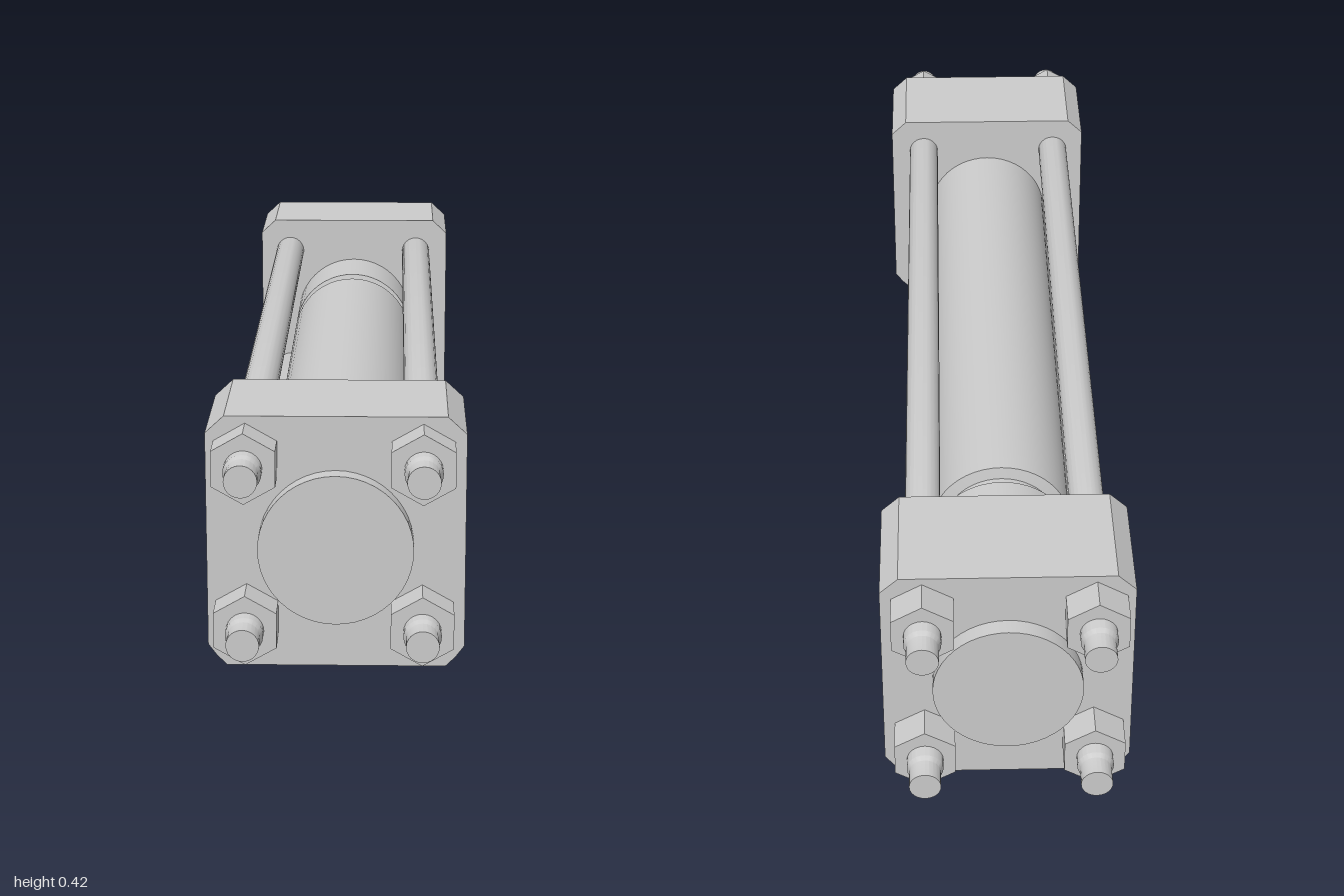
import * as THREE from 'three';
import { toCreasedNormals } from 'three/addons/utils/BufferGeometryUtils.js';

const material = new THREE.MeshStandardMaterial({ color: 0xcccccc });

// Turned part along z, from [radius, z] pairs running back to front
function turned(profile, segments) {
  const points = profile.map(([r, z]) => new THREE.Vector2(r, z));
  const geometry = new THREE.LatheGeometry(points, segments).rotateX(Math.PI / 2);
  return toCreasedNormals(geometry, 0.5);
}

export function createModel() {
  const group = new THREE.Group();
  const add = (name, geometry, x = 0, y = 0, z = 0) => {
    const mesh = new THREE.Mesh(geometry, material);
    mesh.name = name;
    mesh.position.set(x, y, z);
    group.add(mesh);
  };

  // Cylinder barrel with a seal groove, its ends standing out past the blocks
  const R = 0.123, G = 0.102;
  add('barrel', turned([
    [0, -0.91], [R, -0.91], [R, -0.511], [G, -0.507],
    [G, -0.473], [R, -0.469], [R, 0.91], [0, 0.91],
  ], 48), 0, 0.205, 0);

  // End blocks with cut corners
  const outline = new THREE.Shape([
    [-0.175, 0], [0.175, 0], [0.191, 0.016], [0.205, 0.035], [0.205, 0.388], [0.175, 0.416],
    [-0.175, 0.416], [-0.205, 0.388], [-0.205, 0.035], [-0.191, 0.016],
  ].map(([x, y]) => new THREE.Vector2(x, y)));
  const block = new THREE.ExtrudeGeometry(outline, { depth: 0.215, bevelEnabled: false });
  add('frontBlock', block, 0, 0, 0.665);
  add('backBlock', block, 0, 0, -0.88);

  // Tie rods with stepped studs, and a hex nut at each end
  const studEnd = [[0, 1], [0.026, 1], [0.026, 0.966], [0.03, 0.958]];
  const rod = turned([
    ...studEnd.map(([r, z]) => [r, -z]),
    ...studEnd.slice().reverse(),
  ], 24);
  const nut = toCreasedNormals(new THREE.CylinderGeometry(0.0575, 0.0575, 0.058, 6).rotateX(Math.PI / 2), 0.5);
  for (const x of [-0.142, 0.137]) {
    for (const y of [0.081, 0.347]) {
      add('tieRod', rod, x, y, 0);
      add('frontNut', nut, x, y, 0.908);
      add('backNut', nut, x, y, -0.908);
    }
  }
  return group;
}
